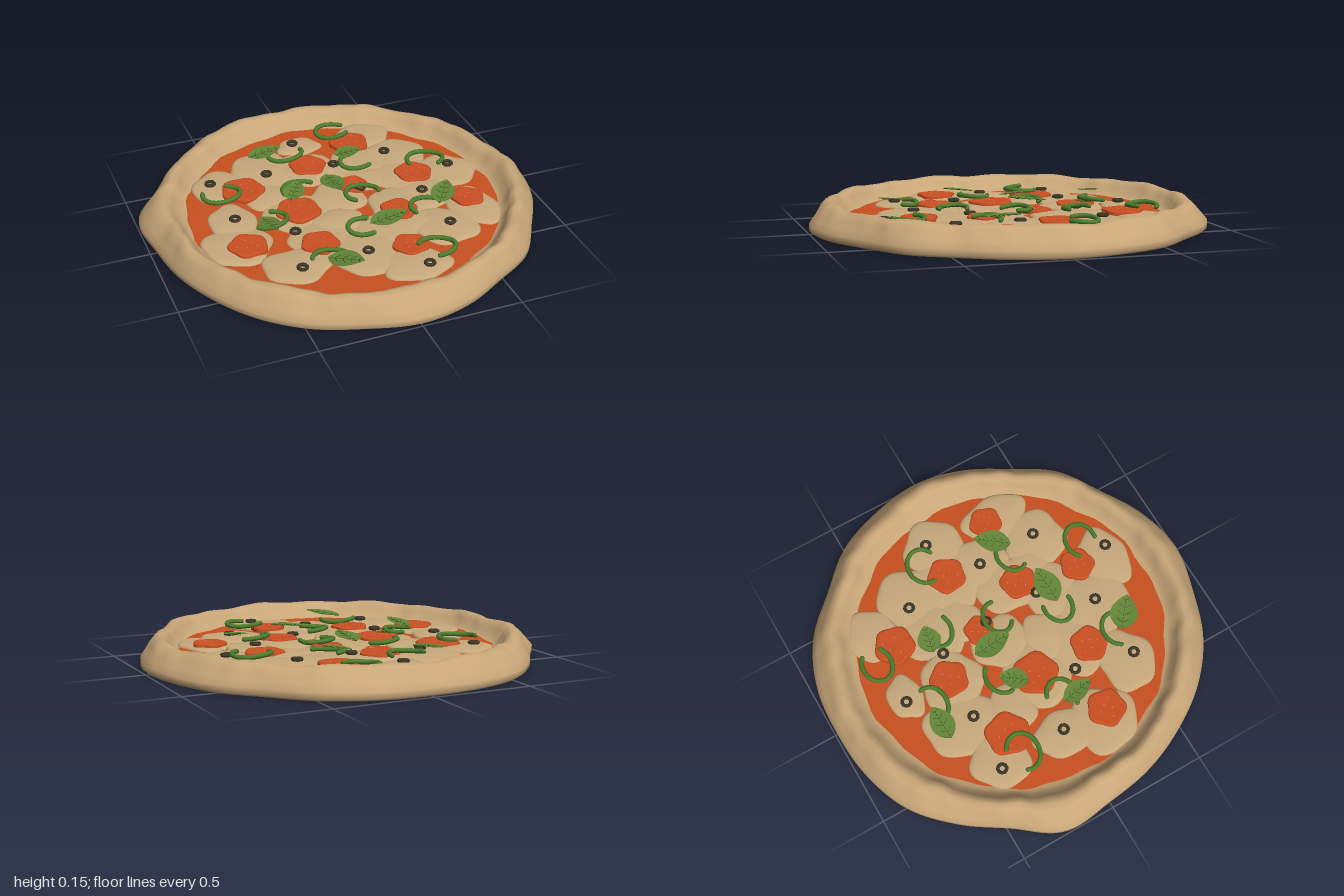
import * as THREE from 'three';

const paint = (name, color, side = THREE.FrontSide) => {
  const m = new THREE.MeshStandardMaterial({ color, side });
  m.name = name;
  return m;
};

// Evenly spaced crust radii, clockwise from +x seen from above
const RIM = [0.995, 0.975, 0.95, 0.968, 0.95, 0.978, 0.995, 0.972, 0.978, 0.972, 0.96, 0.962,
  0.972, 1.022, 0.972, 0.985, 1.008, 1.0, 0.99, 1.0, 0.995, 0.965, 0.988, 0.988];
const N = RIM.length;
const rimCurve = new THREE.SplineCurve(
  Array.from({ length: N + 3 }, (_, i) => new THREE.Vector2(i, RIM[(i + N - 1) % N])));
const rimRadius = a => {
  const f = ((a / (2 * Math.PI)) % 1 + 1) % 1 * N;
  return rimCurve.getPoint((f + 1) / (N + 2)).y;
};

// Revolve a profile, then move each vertex by rule(angle, radius, y) -> [radius, y]
function warpedLathe(profile, segments, rule) {
  const g = new THREE.LatheGeometry(profile.map(p => new THREE.Vector2(...p)), segments);
  const pos = g.attributes.position, rows = profile.length;
  for (let i = 0; i < pos.count; i++) {
    const phi = Math.floor(i / rows) % segments / segments * 2 * Math.PI;
    const a = Math.PI / 2 - phi;
    const [r, y] = rule(a, ...profile[i % rows]);
    pos.setXYZ(i, r * Math.cos(a), y, r * Math.sin(a));
  }
  g.computeVertexNormals();
  // Blend the normals across the seam
  const n = g.attributes.normal, v = new THREE.Vector3(), w = new THREE.Vector3();
  for (let j = 0; j < rows; j++) {
    const k = segments * rows + j;
    v.fromBufferAttribute(n, j).add(w.fromBufferAttribute(n, k)).normalize();
    n.setXYZ(j, v.x, v.y, v.z);
    n.setXYZ(k, v.x, v.y, v.z);
  }
  return g;
}

// [x, z, radius x, radius z]
const CHEESE = [
  [-0.02, -0.61, 0.12, 0.09], [0.35, -0.6, 0.14, 0.13], [-0.28, -0.44, 0.16, 0.19],
  [-0.53, -0.36, 0.15, 0.15], [-0.06, -0.37, 0.16, 0.16], [0.43, -0.34, 0.17, 0.17],
  [0.2, -0.32, 0.15, 0.17], [0.62, -0.1, 0.15, 0.16], [0.4, -0.12, 0.17, 0.16],
  [-0.57, -0.03, 0.12, 0.15], [-0.25, 0, 0.18, 0.17], [-0.61, 0.18, 0.17, 0.17],
  [0, -0.06, 0.14, 0.15], [0.25, 0.12, 0.15, 0.16], [0.42, 0.07, 0.14, 0.14],
  [0.6, 0.26, 0.13, 0.18], [0.4, 0.38, 0.16, 0.16], [-0.4, 0.44, 0.17, 0.14],
  [-0.06, 0.46, 0.17, 0.19], [0.13, 0.63, 0.17, 0.13], [-0.2, 0.28, 0.18, 0.16],
  [0.12, 0.3, 0.16, 0.15], [-0.33, -0.18, 0.13, 0.12], [0.2, -0.17, 0.13, 0.1],
  [-0.08, 0.15, 0.13, 0.1], [0.28, 0.28, 0.12, 0.1]];

// [x, z, radius]
const SAUSAGE = [
  [-0.44, -0.27, 0.108], [-0.05, -0.38, 0.095], [0.24, -0.53, 0.1], [-0.24, 0.01, 0.11],
  [0.1, -0.12, 0.075], [0.44, -0.12, 0.095], [-0.57, 0.22, 0.095], [-0.24, 0.32, 0.092],
  [0.23, 0.18, 0.09], [0.6, 0.2, 0.082], [0.16, 0.49, 0.086]];

const OLIVES = [
  [-0.05, -0.62], [-0.28, -0.37], [-0.58, -0.38], [0.08, -0.34], [0.38, -0.37], [0.64, -0.13],
  [-0.56, -0.02], [0.41, 0.06], [-0.32, 0.19], [0.42, 0.38], [-0.05, 0.47], [-0.39, 0.49],
  [0.18, 0.67], [0.12, -0.07], [0.13, 0.23]];

// [x, z, turn in degrees, length, width]
const LEAVES = [
  [-0.24, -0.525, -3, 0.18, 0.12], [0.17, -0.37, 10, 0.14, 0.12], [-0.22, -0.105, -55, 0.15, 0.11],
  [-0.01, -0.11, 88, 0.2, 0.12], [-0.43, 0.135, 80, 0.17, 0.1], [0.13, 0.29, -3, 0.2, 0.13],
  [0.475, 0.17, -55, 0.19, 0.12], [-0.195, 0.55, 40, 0.18, 0.14]];

// [x, z, radius, start degrees, end degrees]
const STRIPS = [
  [0.19, -0.655, 0.086, 45, 320], [-0.13, -0.52, 0.09, -10, 170], [-0.56, -0.25, 0.092, -60, 200],
  [0.54, -0.2, 0.092, 170, 420], [0.2, -0.31, 0.086, 60, 250], [-0.17, -0.15, 0.09, 170, 320],
  [0.11, -0.01, 0.082, 130, 370], [-0.41, 0.06, 0.086, -70, 140], [0.01, 0.285, 0.085, 80, 290],
  [0.37, 0.22, 0.086, 150, 310], [-0.245, 0.48, 0.085, 200, 375], [0.26, 0.57, 0.09, 220, 460]];

// Leaf blade: a tapered grid, folded along its middle and curling up to the tip
const leafHalf = (u, width) => width / 2 * Math.pow(Math.sin(Math.PI * Math.pow(u, 0.85)), 0.8);
const leafRise = u => 0.006 * Math.sin(Math.PI * u) + 0.022 * u * u;
function leafBlade(length, width) {
  const g = new THREE.PlaneGeometry(1, 2, 14, 4).rotateX(-Math.PI / 2);
  const p = g.attributes.position;
  for (let i = 0; i < p.count; i++) {
    const u = THREE.MathUtils.clamp(p.getX(i) + 0.5, 0, 1), v = p.getZ(i);
    p.setXYZ(i, (u - 0.5) * length, leafRise(u) + 0.005 * v * v, v * leafHalf(u, width));
  }
  g.computeVertexNormals();
  return g;
}

export function createModel() {
  const model = new THREE.Group();
  model.name = 'pizza';
  const crustTan = paint('crust tan', 0xc8a678);
  const cheeseCream = paint('cheese cream', 0xc8a97c);
  const sauceRed = paint('sauce red', 0xc8501f);
  const sausageRed = paint('sausage red', 0xcb4f22);
  const speckPink = paint('speck pink', 0xd8946a);
  const leafGreen = paint('leaf green', 0x628437, THREE.DoubleSide);
  const veinGreen = paint('vein green', 0x34521f);
  const pepperGreen = paint('pepper green', 0x4d7d2d);
  const oliveBlack = paint('olive black', 0x3c3828);

  const add = (parent, name, geometry, material, x = 0, y = 0, z = 0) => {
    const m = new THREE.Mesh(geometry, material);
    m.name = name;
    m.position.set(x, y, z);
    parent.add(m);
    return m;
  };
  const addGroup = (parent, name, x = 0, y = 0, z = 0) => {
    const g = new THREE.Group();
    g.name = name;
    g.position.set(x, y, z);
    parent.add(g);
    return g;
  };

  // Uneven hand-shaped crust: flat base, sloping side, raised rim and steep inner wall
  const crust = [[0, 0], [0.985, 0], [1, 0.012], [1, 0.04], [0.975, 0.07], [0.945, 0.108],
    [0.918, 0.134], [0.89, 0.142], [0.865, 0.134], [0.845, 0.11], [0.822, 0.08], [0.795, 0.062],
    [0.75, 0.053], [0.7, 0.05]];
  add(model, 'crust', warpedLathe(crust, 200, (a, r, y) => {
    const lump = Math.sin(7 * a + 1) + 0.7 * Math.sin(13 * a + 2) + 0.6 * Math.sin(29 * a)
      + 0.4 * Math.sin(41 * a + 1);
    const high = THREE.MathUtils.smoothstep(y, 0.05, 0.13);
    const k = Math.max(0, (r - 0.78) / 0.22);
    const radius = Math.min(r, 0.78) + k * (rimRadius(a) - 0.78) + 0.006 * high * lump;
    return [radius, y + 0.004 * high * (Math.sin(9 * a) + Math.sin(17 * a + 1))];
  }), crustTan);

  // Sauce layer with a ragged edge
  add(model, 'sauce', warpedLathe([[0.79, 0.056], [0.78, 0.063], [0.5, 0.064], [0, 0.064]], 96,
    (a, r, y) => [r + (r > 0.6 ? 0.008 * Math.sin(11 * a) + 0.006 * Math.sin(23 * a + 1) : 0), y]),
  sauceRed);

  // Melted cheese pools
  const cheese = addGroup(model, 'cheese');
  CHEESE.forEach(([x, z, rx, rz], i) => {
    const g = warpedLathe([[1, -0.005], [0.99, 0.003], [0.93, 0.008], [0.8, 0.012], [0.45, 0.016],
      [0, 0.017]], 40, (a, r, y) =>
      [r * (1 + 0.05 * Math.sin(3 * a + i * 2) + 0.05 * Math.sin(5 * a + i * 3)), y]);
    g.scale(rx, 1, rz);
    add(cheese, 'cheesePool', g, cheeseCream, x, 0.064 + (i % 5) * 0.001, z);
  });

  // Lobed sausage slices with pale specks
  const slices = addGroup(model, 'sausageSlices');
  SAUSAGE.forEach(([x, z, r0], i) => {
    const slice = addGroup(slices, 'sausageSlice', x, 0.078, z);
    add(slice, 'slice', warpedLathe([[1, -0.008], [1.01, 0.008], [0.96, 0.014], [0.85, 0.014],
      [0, 0.012]], 40, (a, r, y) => [r * r0 * (1 + 0.06 * Math.sin(5 * a + i * 1.7)), y]), sausageRed);
    for (let k = 0; k < 5; k++) {
      const a = k * 2.4 + i, d = r0 * (0.2 + 0.1 * k);
      add(slice, 'speck', new THREE.CylinderGeometry(0.003, 0.003, 0.004, 6), speckPink,
        d * Math.cos(a), 0.0135, d * Math.sin(a));
    }
  });

  // Olive rings
  const olives = addGroup(model, 'olives');
  const ring = new THREE.TorusGeometry(0.022, 0.009, 6, 10).rotateX(Math.PI / 2);
  OLIVES.forEach(([x, z]) => add(olives, 'oliveRing', ring, oliveBlack, x, 0.09, z));

  // Curled pepper strips
  const strips = addGroup(model, 'pepperStrips');
  STRIPS.forEach(([x, z, r, from, to]) => {
    const path = new THREE.CatmullRomCurve3(Array.from({ length: 13 }, (_, k) => {
      const a = THREE.MathUtils.degToRad(from + (to - from) * k / 12);
      return new THREE.Vector3(r * 1.05 * Math.cos(a), 0.004 * Math.sin(2 * a), r * 0.85 * Math.sin(a));
    }));
    const strip = addGroup(strips, 'pepperStrip', x, 0.1, z);
    add(strip, 'strip', new THREE.TubeGeometry(path, 32, 0.012, 8), pepperGreen);
    for (const t of [0, 1]) {
      add(strip, 'stripEnd', new THREE.SphereGeometry(0.012, 8, 6), pepperGreen, ...path.getPoint(t));
    }
  });

  // Herb leaves with a dotted midrib and side veins
  const leaves = addGroup(model, 'leaves');
  LEAVES.forEach(([x, z, turn, length, width]) => {
    const leaf = addGroup(leaves, 'leaf', x, 0.114, z);
    leaf.rotation.y = -THREE.MathUtils.degToRad(turn);
    add(leaf, 'blade', leafBlade(length, width), leafGreen);
    for (let k = 1; k < 9; k++) {
      const u = k / 9.5, y = leafRise(u) + 0.001;
      add(leaf, 'midrib', new THREE.BoxGeometry(length * 0.07, 0.002, 0.003), veinGreen,
        (u - 0.5) * length, y, 0);
      if (k % 2) continue;
      for (const s of [-1, 1]) {
        const reach = leafHalf(u, width) * 0.55;
        const vein = add(leaf, 'sideVein', new THREE.BoxGeometry(reach, 0.002, 0.002), veinGreen,
          (u - 0.5) * length + reach * 0.3, y + 0.002, s * reach * 0.6);
        vein.rotation.y = -s * 0.9;
      }
    }
  });
  return model;
}
